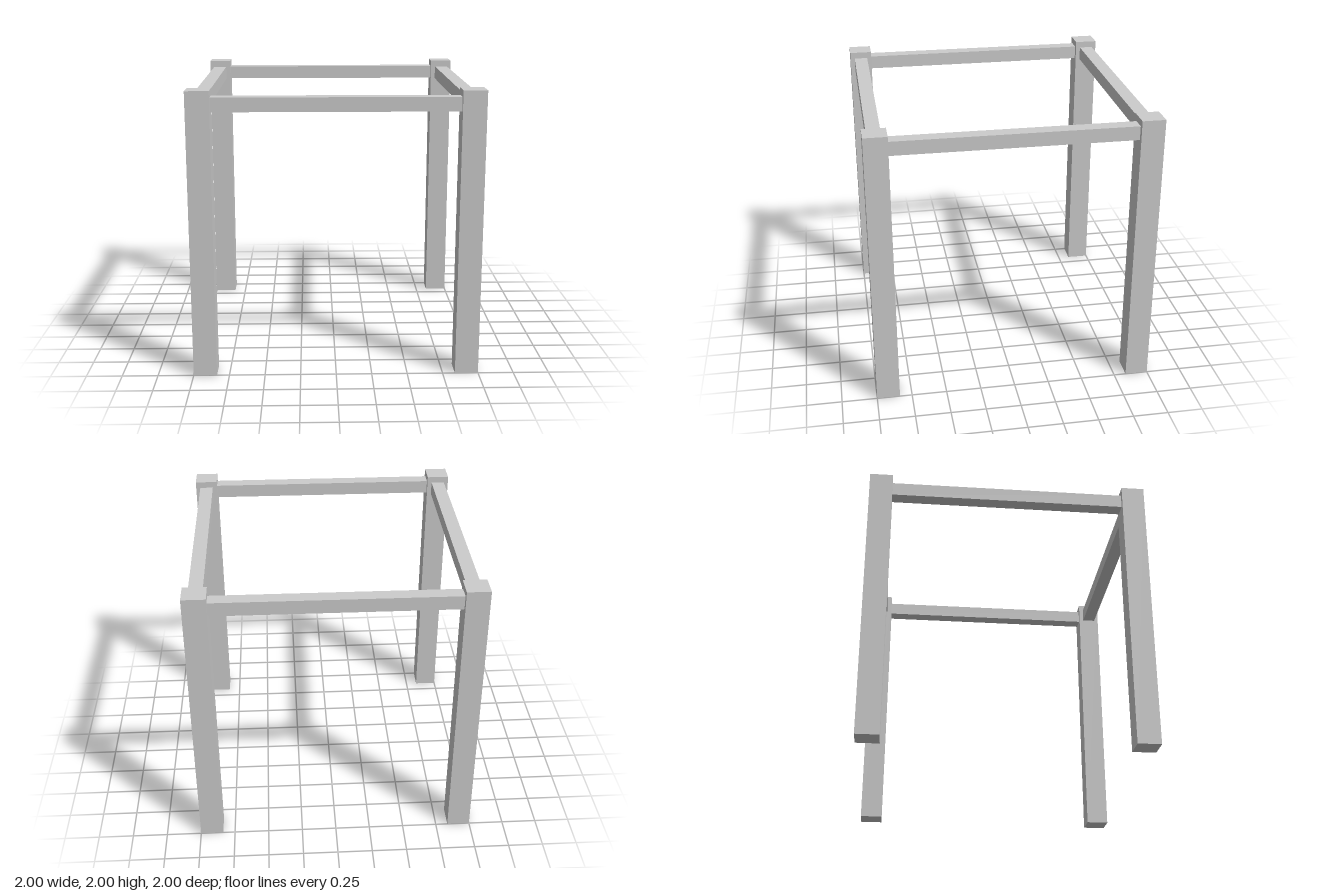
import * as THREE from 'three';

const POST = 0.163; // post thickness
const RAIL = 0.098; // rail thickness
const CENTRE = 1 - POST / 2; // post and rail centre line
const RAIL_Y = 1.904;
const SPAN = 2 - 2 * POST; // clear distance between posts

export function createModel() {
  const model = new THREE.Group();
  model.name = 'tableFrame';
  const material = new THREE.MeshStandardMaterial({ color: 0xcccccc, flatShading: true });

  const add = (name, geometry, x, y, z) => {
    const mesh = new THREE.Mesh(geometry, material);
    mesh.name = name;
    mesh.position.set(x, y, z);
    model.add(mesh);
  };

  const postGeometry = new THREE.BoxGeometry(POST, 2, POST);
  const crossRail = new THREE.BoxGeometry(SPAN, RAIL, RAIL);
  const sideRail = new THREE.BoxGeometry(RAIL, RAIL, SPAN);

  for (const s of [-1, 1]) {
    const end = s > 0 ? 'front' : 'back';

    // Corner posts
    add(`${end}RightPost`, postGeometry, -CENTRE, 1, s * CENTRE);
    add(`${end}LeftPost`, postGeometry, CENTRE, 1, s * CENTRE);

    // Rails joining the posts just below their tops
    add(`${end}Rail`, crossRail, 0, RAIL_Y, s * CENTRE);
    add(s > 0 ? 'leftRail' : 'rightRail', sideRail, s * CENTRE, RAIL_Y, 0);
  }

  return model;
}
